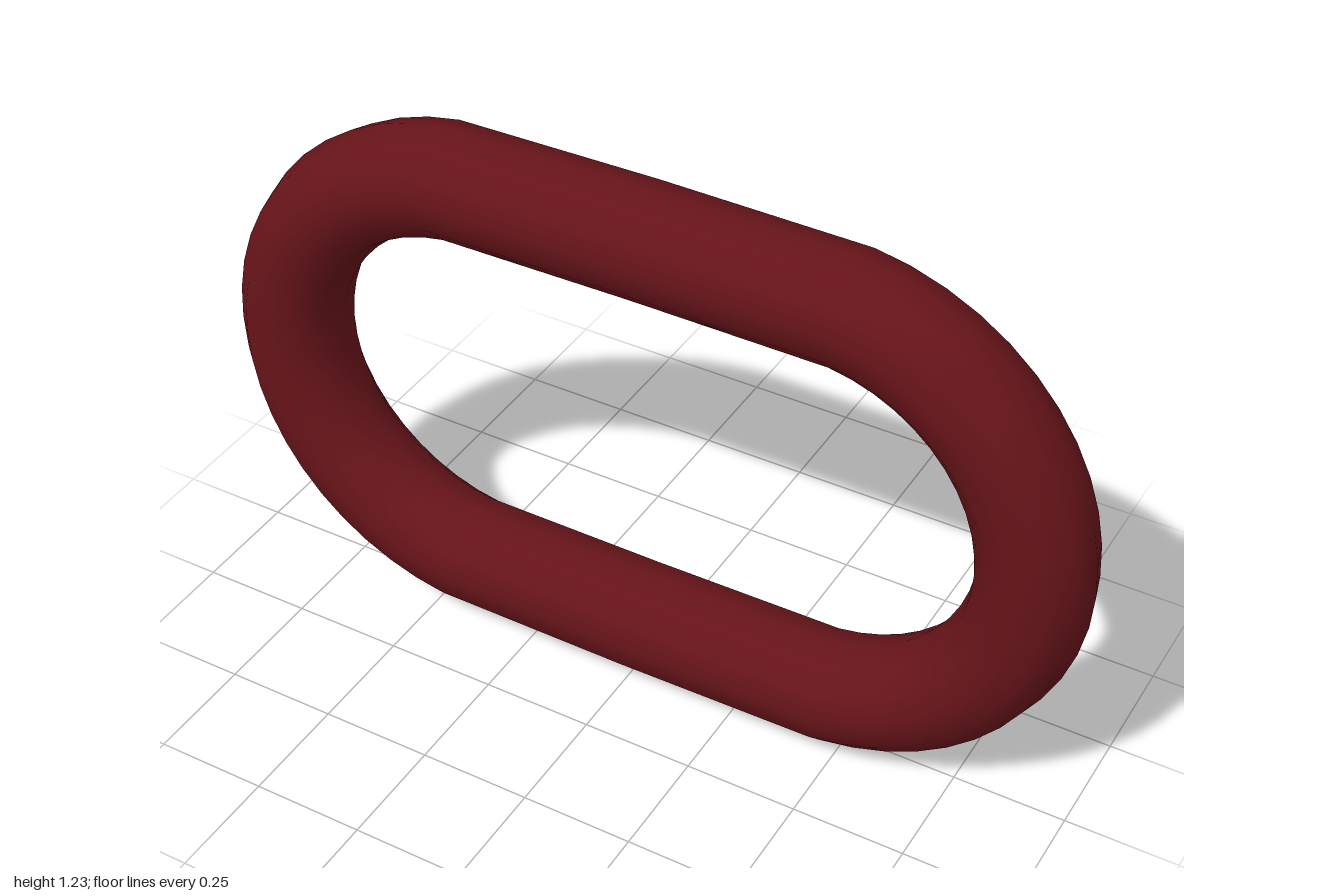
import * as THREE from 'three';

const RING = 0.49;      // centre-line radius of the round ends
const TUBE = 0.1225;    // bar thickness radius
const STRETCH = 0.3875; // half length of the straight runs

export function createModel() {
  const group = new THREE.Group();
  group.name = 'chainLink';

  // Torus split in the middle: each half slides outward, the ring at x = 0 stays
  const geometry = new THREE.TorusGeometry(RING, TUBE, 12, 48);
  const pos = geometry.attributes.position;
  for (let i = 0; i < pos.count; i++) {
    const x = pos.getX(i);
    if (Math.abs(x) > 1e-4) pos.setX(i, x + Math.sign(x) * STRETCH);
  }
  geometry.translate(0, RING + TUBE, 0);

  const link = new THREE.Mesh(geometry, new THREE.MeshStandardMaterial({ color: 0x661419 }));
  link.name = 'link';
  group.add(link);
  return group;
}
